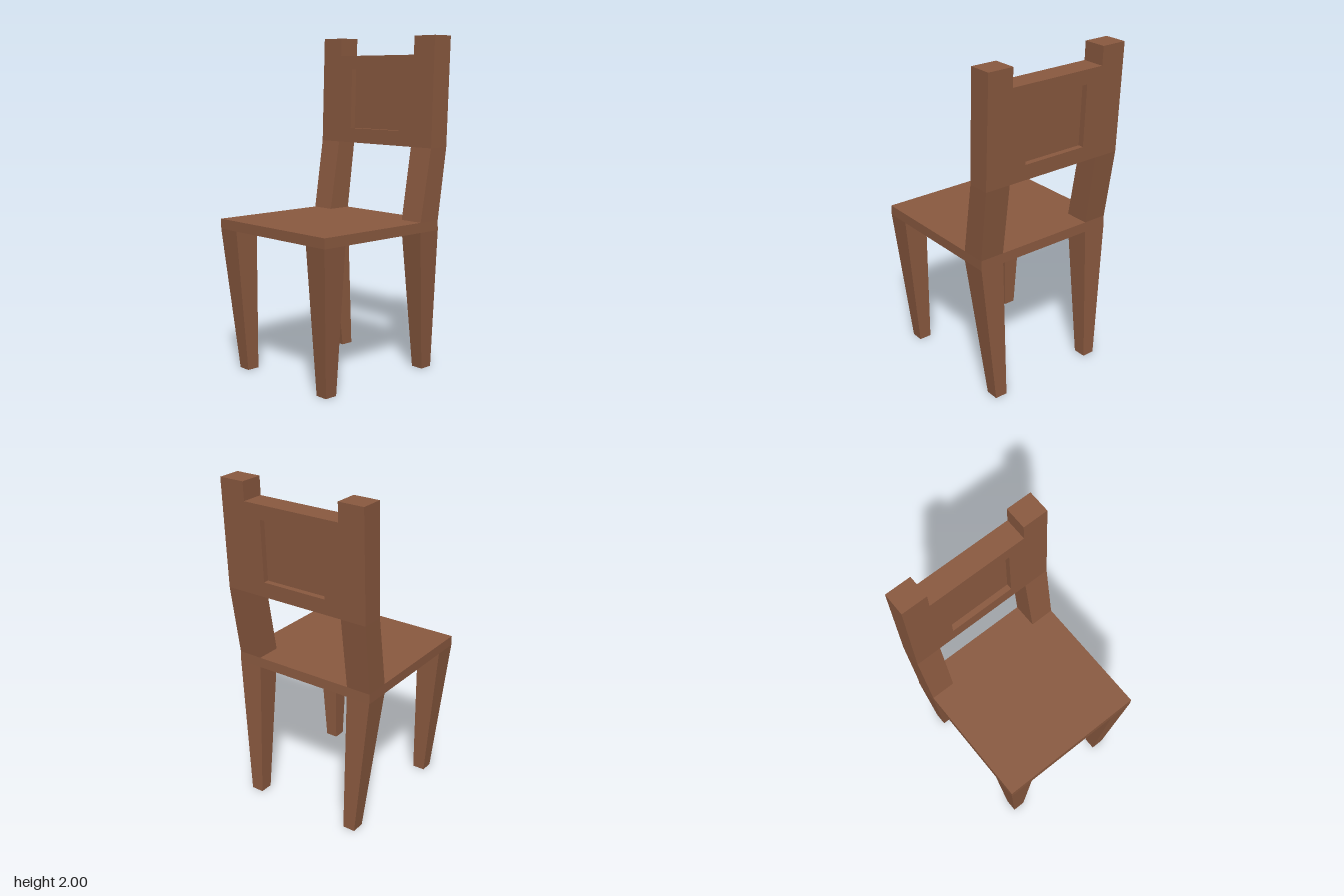
import * as THREE from 'three';

const wood = new THREE.MeshStandardMaterial({ color: 0x8b5a40, flatShading: true });

// Box lofted through rectangular sections [y, x0, x1, z0, z1], listed bottom to top
function loft(name, sections) {
  const n = sections.length - 1;
  const geo = new THREE.BoxGeometry(1, 1, 1, 1, n, 1).toNonIndexed();
  const p = geo.attributes.position;
  for (let i = 0; i < p.count; i++) {
    const [y, x0, x1, z0, z1] = sections[Math.round((p.getY(i) + 0.5) * n)];
    p.setXYZ(i, p.getX(i) < 0 ? x0 : x1, y, p.getZ(i) < 0 ? z0 : z1);
  }
  geo.computeVertexNormals();
  const mesh = new THREE.Mesh(geo, wood);
  mesh.name = name;
  return mesh;
}

const mirrorX = (sections) => sections.map(([y, x0, x1, z0, z1]) => [y, -x1, -x0, z0, z1]);

// Leaning front and back planes of the backrest
const frontZ = (y) => -0.335 - 0.031 * (y - 1.35);
const backZ = (y) => -0.47 - 0.038 * (y - 1.35);

function rectangle(path, x, y0, y1) {
  path.moveTo(-x, y0);
  path.lineTo(x, y0);
  path.lineTo(x, y1);
  path.lineTo(-x, y1);
  path.closePath();
  return path;
}

// Backrest frame with a square opening, leaned to follow the posts
function backrestFrame() {
  const shape = rectangle(new THREE.Shape(), 0.31, 1.35, 1.89);
  shape.holes.push(rectangle(new THREE.Path(), 0.207, 1.44, 1.805));
  const geo = new THREE.ExtrudeGeometry(shape, { depth: 1, bevelEnabled: false });
  const p = geo.attributes.position;
  for (let i = 0; i < p.count; i++) {
    const y = p.getY(i);
    p.setZ(i, THREE.MathUtils.lerp(backZ(y), frontZ(y), p.getZ(i)));
  }
  geo.computeVertexNormals();
  const mesh = new THREE.Mesh(geo, wood);
  mesh.name = 'backrestFrame';
  return mesh;
}

export function createModel() {
  const chair = new THREE.Group();
  chair.name = 'chair';

  // Seat
  chair.add(loft('seat', [
    [0.86, -0.46, 0.46, -0.415, 0.495],
    [0.92, -0.46, 0.46, -0.413, 0.495],
  ]));

  // Tapered front legs
  const frontLeg = [
    [0, 0.31, 0.387, 0.343, 0.42],
    [0.86, 0.31, 0.46, 0.343, 0.495],
  ];

  // Back legs running up into the leaning posts
  const backPost = [
    [0, 0.31, 0.387, -0.448, -0.368],
    [0.86, 0.31, 0.46, -0.415, -0.262],
    [0.92, 0.31, 0.46, -0.413, -0.262],
    [1.35, 0.31, 0.468, backZ(1.35), frontZ(1.35)],
    [2, 0.31, 0.468, backZ(2), frontZ(2)],
  ];
  chair.add(loft('leftFrontLeg', frontLeg), loft('rightFrontLeg', mirrorX(frontLeg)));
  chair.add(loft('leftBackPost', backPost), loft('rightBackPost', mirrorX(backPost)));

  // Backrest with a panel recessed on both faces
  const recess = 0.035;
  chair.add(backrestFrame());
  chair.add(loft('backrestPanel', [1.44, 1.805].map(
    (y) => [y, -0.207, 0.207, backZ(y) + recess, frontZ(y) - recess])));

  return chair;
}
